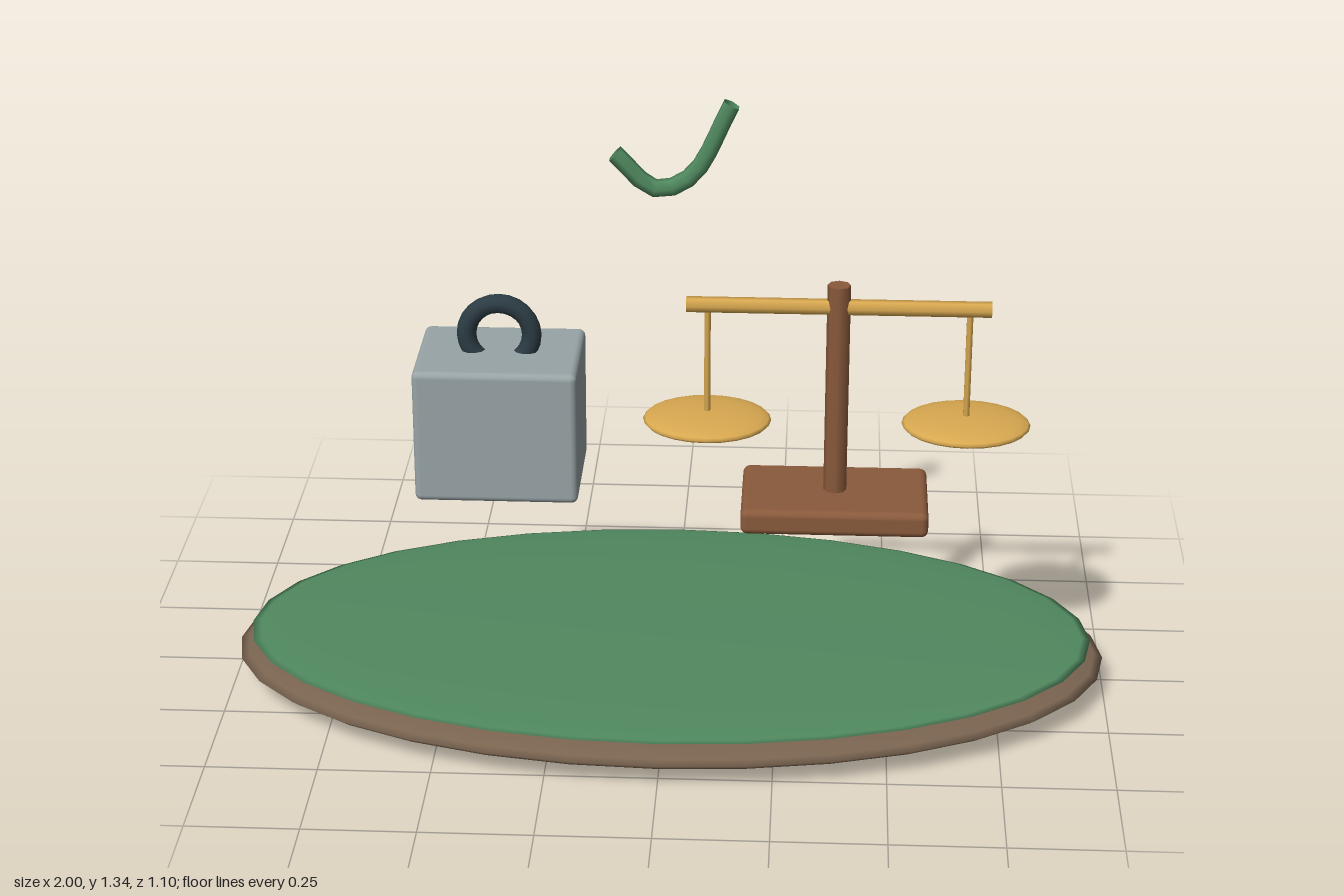
import * as THREE from 'three';
import { RoundedBoxGeometry } from 'three/addons/geometries/RoundedBoxGeometry.js';

const material = (color) => new THREE.MeshStandardMaterial({ color });
const earth = material(0x7a6450);
const green = material(0x50895f);
const stone = material(0x98a4a6);
const iron = material(0x2c3c44);
const wood = material(0x8a5a3c);
const brass = material(0xd8a850);

function add(parent, name, geometry, mat, x, y, z) {
  const mesh = new THREE.Mesh(geometry, mat);
  mesh.name = name;
  mesh.position.set(x, y, z);
  parent.add(mesh);
  return mesh;
}

const ellipsoid = (rx, ry, rz, sides, rings) =>
  new THREE.SphereGeometry(1, sides, rings).scale(rx, ry, rz);

export function createModel() {
  const model = new THREE.Group();

  // Oval ground with a thin green top
  const ground = new THREE.Group();
  ground.name = 'ground';
  model.add(ground);
  add(ground, 'earthDisc', ellipsoid(1, 0.058, 0.55, 32, 16), earth, 0, 0.06, 0);
  add(ground, 'grassTop', ellipsoid(0.97, 0.019, 0.53, 32, 16), green, 0, 0.105, 0);

  // Block weight with a ring handle
  const weight = new THREE.Group();
  weight.name = 'weight';
  weight.position.x = -0.38;
  model.add(weight);
  add(weight, 'weightBlock', new RoundedBoxGeometry(0.365, 0.312, 0.285, 3, 0.015), stone, 0, 0.645, 0);
  add(weight, 'ringHandle', new THREE.TorusGeometry(0.073, 0.022, 10, 24), iron, 0, 0.84, 0);

  // Balance scale
  const scale = new THREE.Group();
  scale.name = 'balanceScale';
  scale.position.x = 0.375;
  model.add(scale);
  add(scale, 'scaleBase', new RoundedBoxGeometry(0.42, 0.06, 0.26, 3, 0.016), wood, 0, 0.446, 0);
  add(scale, 'post', new THREE.CylinderGeometry(0.026, 0.026, 0.52, 8), wood, 0, 0.712, 0);
  const beamGeometry = new THREE.CylinderGeometry(0.018, 0.018, 0.675, 6).rotateZ(Math.PI / 2);
  add(scale, 'beam', beamGeometry, brass, 0, 0.92, 0);
  for (const side of [-1, 1]) {
    const label = side > 0 ? 'left' : 'right';
    add(scale, label + 'Rod', new THREE.CylinderGeometry(0.008, 0.008, 0.27, 6), brass, side * 0.29, 0.785, 0);
    add(scale, label + 'Pan', ellipsoid(0.144, 0.022, 0.125, 24, 12), brass, side * 0.29, 0.643, 0);
  }

  // Bent stem floating above
  const path = new THREE.CatmullRomCurve3([
    [-0.13, 1.21], [-0.04, 1.13], [0.04, 1.16], [0.13, 1.33],
  ].map(([x, y]) => new THREE.Vector3(x, y, 0)));
  const stemMaterial = green.clone();
  stemMaterial.side = THREE.DoubleSide;
  add(model, 'bentStem', new THREE.TubeGeometry(path, 10, 0.021, 6), stemMaterial, 0, 0, -0.167);

  return model;
}
